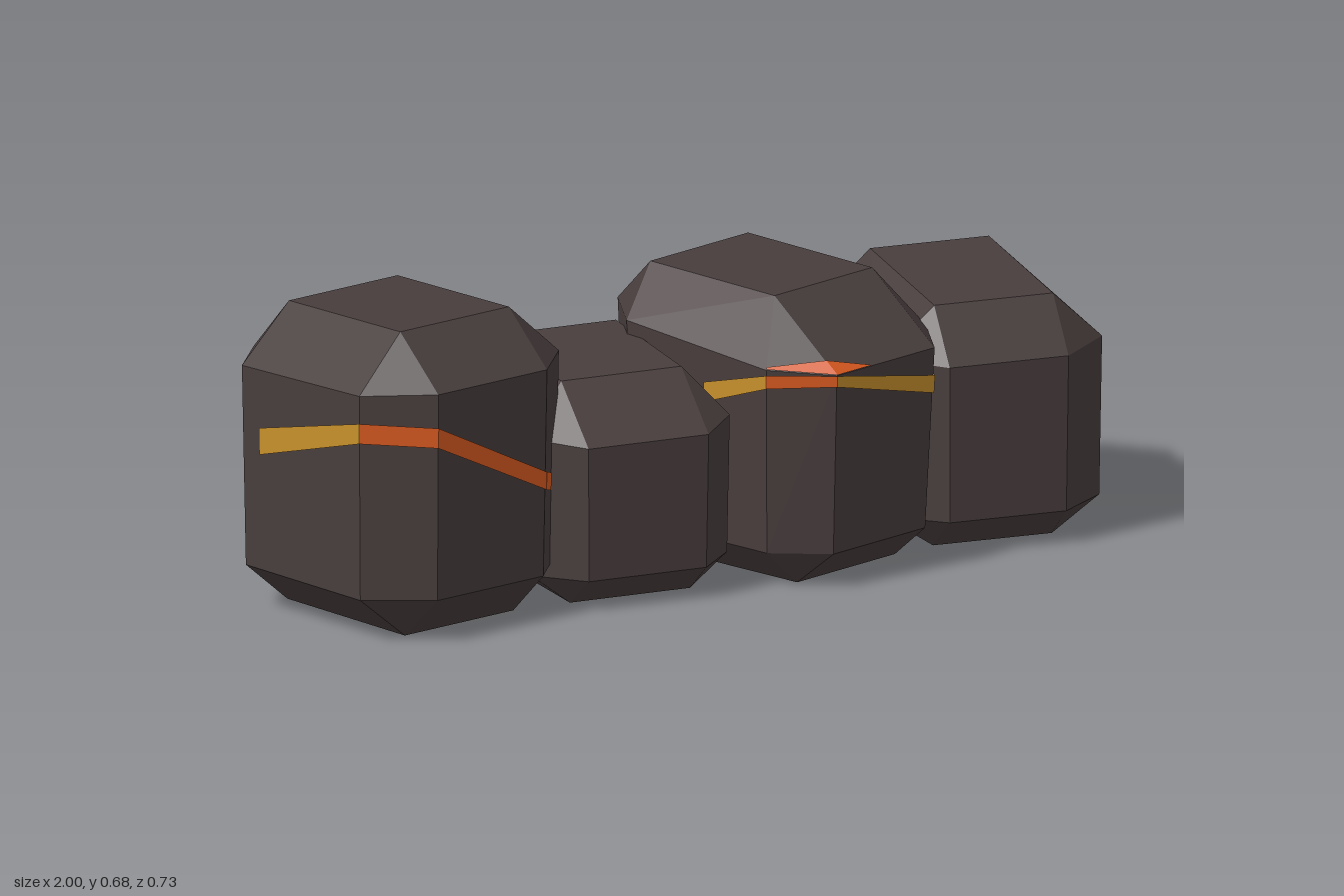
import * as THREE from 'three';
import { ConvexGeometry } from 'three/addons/geometries/ConvexGeometry.js';

const stone = new THREE.MeshStandardMaterial({ color: 0x483d3d, flatShading: true });
stone.name = 'dark stone';
const orange = new THREE.MeshStandardMaterial({ color: 0xd95a20, side: THREE.DoubleSide });
orange.name = 'orange vein';
const yellow = new THREE.MeshStandardMaterial({ color: 0xc8912c, side: THREE.DoubleSide });
yellow.name = 'yellow vein';

// Each rock is a bevelled block. w, d: half width and depth; ix, iz: the same inside the bevels;
// shoulder and top: heights as [back, front]; topZ: front and back edge of the top face.
// vein: stops of [ring position, upper height, lower height], with one colour per span.
const ROCKS = [
  {
    name: 'tallRock', at: [-0.685, -0.035], yaw: 0.18, w: 0.285, d: 0.307, ix: 0.155, iz: 0.195,
    foot: 0.1, taper: 0.975, shoulder: [0.545, 0.565], top: [0.672, 0.68], topZ: [-0.19, 0.18],
    vein: [[4.6, 0.315, 0.275], [5, 0.335, 0.295], [6, 0.49, 0.445], [7, 0.5, 0.455], [7.85, 0.42, 0.36]],
    colours: [orange, orange, orange, yellow],
  },
  {
    name: 'smallRock', at: [-0.2, -0.032], yaw: -0.1, w: 0.238, d: 0.283, ix: 0.143, iz: 0.185,
    foot: 0.07, taper: 0.98, shoulder: [0.42, 0.37], top: [0.505, 0.487], topZ: [-0.2, 0.14],
  },
  {
    name: 'turnedRock', at: [0.236, 0.003], yaw: 0.29, w: 0.253, d: 0.325, ix: 0.155, iz: 0.207,
    foot: 0.08, taper: 0.94, shoulder: [0.54, 0.487], top: [0.64, 0.632], topZ: [-0.228, 0.14],
    vein: [[4.2, 0.41, 0.36], [5, 0.425, 0.385], [6, 0.487, 0.462], [7, 0.485, 0.455], [7.45, 0.435, 0.39]],
    colours: [orange, yellow, orange, yellow],
  },
  {
    name: 'endRock', at: [0.717, -0.029], yaw: -0.16, w: 0.255, d: 0.293, ix: 0.138, iz: 0.192,
    foot: 0.075, taper: 0.98, shoulder: [0.465, 0.425], top: [0.57, 0.542], topZ: [-0.185, 0.2],
  },
];

// Corners in order: back left, back right, front right, front left
const CORNERS = [[-1, -1], [1, -1], [1, 1], [-1, 1]];

// Cross-sections of a block: base quad, lower octagon, shoulder octagon, top quad
function sections({ w, d, ix, iz, foot, taper, shoulder, top, topZ }) {
  const s = { base: [], lower: [], upper: [], top: [] };
  CORNERS.forEach(([sx, sz], k) => {
    const ring = [[w, iz], [ix, d]];
    if (k % 2) ring.reverse();
    for (const [x, z] of ring) {
      const y = THREE.MathUtils.lerp(shoulder[0], shoulder[1], (sz * z + d) / (2 * d));
      s.upper.push(new THREE.Vector3(sx * x, y, sz * z));
      s.lower.push(new THREE.Vector3(sx * x * taper, foot, sz * z * taper));
    }
    const side = sz > 0 ? 1 : 0;
    s.top.push(new THREE.Vector3(sx * ix, top[side], topZ[side]));
    s.base.push(new THREE.Vector3(sx * ix, 0, sz * iz));
  });
  return s;
}

// Slightly outside the stone surface
const LIFT = new THREE.Vector3(1.012, 1, 1.012);

// Point on the upright sides: ring position i (fractions run along a face) at height y
function onSide(s, i, y) {
  const a = Math.floor(i), b = (a + 1) % 8;
  const up = s.upper[a].clone().lerp(s.upper[b], i - a);
  const low = s.lower[a].clone().lerp(s.lower[b], i - a);
  return low.clone().lerp(up, (y - low.y) / (up.y - low.y)).multiply(LIFT);
}

// Flat vein plate with three or four corners
function plate(points, material, name) {
  const geo = new THREE.BufferGeometry().setFromPoints(points);
  geo.setIndex(points.length === 4 ? [0, 1, 2, 0, 2, 3] : [0, 1, 2]);
  geo.computeVertexNormals();
  const mesh = new THREE.Mesh(geo, material);
  mesh.name = name;
  return mesh;
}

// Vein spilling from the front left edge onto the shoulder bevel
function shoulderVein(s) {
  const [right, front, left] = s.upper.slice(5);
  const along = (from, to, t) => {
    const p = from.clone().lerp(to, t).multiply(LIFT);
    p.y += 0.003;
    return p;
  };
  const crest = along(front, s.top[3], 0.18);
  const edge = along(front, right, 0);
  return [
    plate([along(left, s.top[3], 0.03), along(left, front, 0), edge, crest], orange, 'shoulderVeinCorner'),
    plate([crest, edge, along(front, right, 0.35)], orange, 'shoulderVeinFront'),
  ];
}

export function createModel() {
  const model = new THREE.Group();
  model.name = 'rockRow';
  for (const rock of ROCKS) {
    const group = new THREE.Group();
    group.name = rock.name;
    group.position.set(rock.at[0], 0, rock.at[1]);
    group.rotation.y = rock.yaw;

    // Stone block
    const s = sections(rock);
    const body = new THREE.Mesh(new ConvexGeometry([...s.base, ...s.lower, ...s.upper, ...s.top]), stone);
    body.name = 'stoneBlock';
    group.add(body);

    // Vein running around the sides
    rock.colours?.forEach((colour, n) => {
      const [[i, iTop, iLow], [j, jTop, jLow]] = rock.vein.slice(n, n + 2);
      group.add(plate([onSide(s, i, iTop), onSide(s, i, iLow), onSide(s, j, jLow), onSide(s, j, jTop)], colour, 'vein'));
    });
    if (rock.name === 'turnedRock') group.add(...shoulderVein(s));
    model.add(group);
  }
  return model;
}
